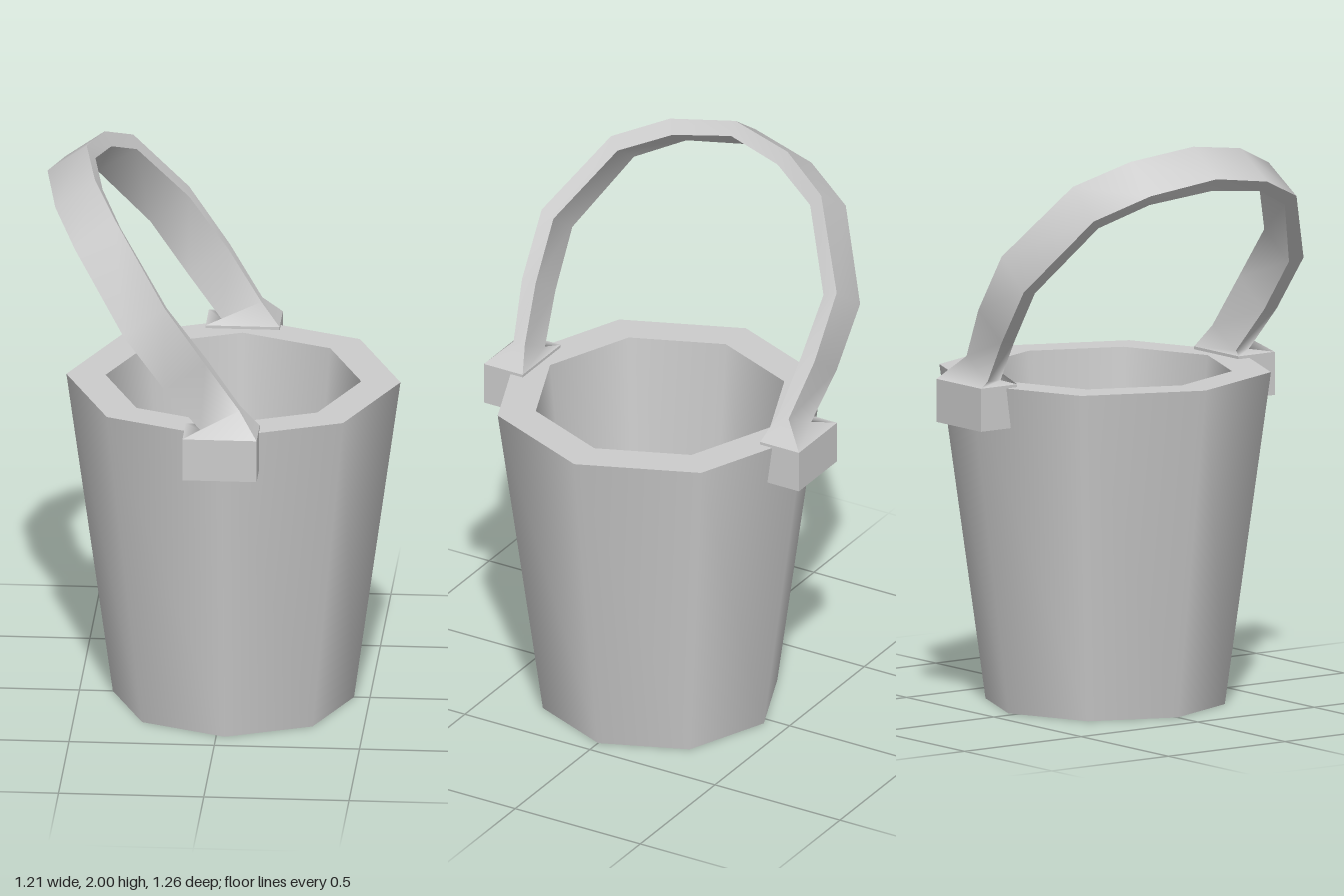
import * as THREE from 'three';

const material = new THREE.MeshStandardMaterial({ color: 0xcccccc });

function addMesh(parent, name, geometry, x = 0, y = 0, z = 0) {
  const mesh = new THREE.Mesh(geometry, material);
  mesh.name = name;
  mesh.position.set(x, y, z);
  parent.add(mesh);
  return mesh;
}

// One smooth strip between two neighbouring corners of the lofted rings
function loftStrip(rings, k) {
  const next = (k + 1) % 4;
  const positions = rings.flatMap(ring => [...ring[k], ...ring[next]]);
  const index = [];
  for (let i = 0; i < rings.length - 1; i++) {
    const a = i * 2;
    index.push(a, a + 2, a + 1, a + 1, a + 2, a + 3);
  }
  const geometry = new THREE.BufferGeometry();
  geometry.setAttribute('position', new THREE.Float32BufferAttribute(positions, 3));
  geometry.setIndex(index);
  geometry.computeVertexNormals();
  return geometry;
}

export function createModel() {
  const model = new THREE.Group();
  model.name = 'bucket';

  // Eight-sided tapered pail, each surface separate so the rims stay sharp
  const pail = new THREE.Group();
  pail.name = 'pail';
  pail.position.x = 0.03;
  model.add(pail);
  const profile = [
    ['pailBase', 0, 0],
    ['outerWall', 0.415, 0],
    ['rim', 0.575, 1.16],
    ['innerWall', 0.44, 1.16],
    ['innerFloor', 0.345, 0.2],
    ['', 0, 0.2],
  ];
  for (let i = 0; i < profile.length - 1; i++) {
    const [name, r0, y0] = profile[i];
    const [, r1, y1] = profile[i + 1];
    addMesh(pail, name, new THREE.LatheGeometry(
      [new THREE.Vector2(r0, y0), new THREE.Vector2(r1, y1)], 8));
  }

  // Half of the tilted handle, foot to crown.
  // Corners: upper outer, lower outer, lower inner, upper inner
  const half = [
    [[0.155, 1.17, 0.63], [-0.1, 1.17, 0.63], [-0.1, 1.17, 0.475], [0.155, 1.17, 0.475]],
    [[0.09, 1.25, 0.55], [-0.045, 1.18, 0.56], [-0.045, 1.18, 0.505], [0.09, 1.25, 0.505]],
    [[-0.025, 1.43, 0.585], [-0.165, 1.335, 0.59], [-0.165, 1.335, 0.535], [-0.025, 1.43, 0.53]],
    [[-0.165, 1.635, 0.59], [-0.305, 1.53, 0.6], [-0.295, 1.52, 0.545], [-0.16, 1.615, 0.54]],
    [[-0.345, 1.885, 0.42], [-0.485, 1.785, 0.435], [-0.465, 1.755, 0.4], [-0.33, 1.845, 0.385]],
    [[-0.43, 1.965, 0.235], [-0.565, 1.865, 0.25], [-0.54, 1.83, 0.235], [-0.405, 1.92, 0.21]],
  ];
  const crown = [[-0.475, 2, 0], [-0.61, 1.905, 0], [-0.58, 1.86, 0], [-0.445, 1.955, 0]];
  const mirrored = half.map(ring => ring.map(([x, y, z]) => [x, y, -z])).reverse();
  const rings = [...half, crown, ...mirrored];

  const handle = new THREE.Group();
  handle.name = 'handle';
  model.add(handle);
  ['handleOuter', 'handleLowerEdge', 'handleInner', 'handleUpperEdge'].forEach(
    (name, k) => addMesh(handle, name, loftStrip(rings, k)));

  // Blocks that hold the handle feet, sunk into the pail wall
  for (const [name, side] of [['frontBracket', 1], ['backBracket', -1]]) {
    addMesh(model, name, new THREE.BoxGeometry(0.255, 0.15, 0.155), 0.0275, 1.095, side * 0.5525);
  }

  return model;
}
